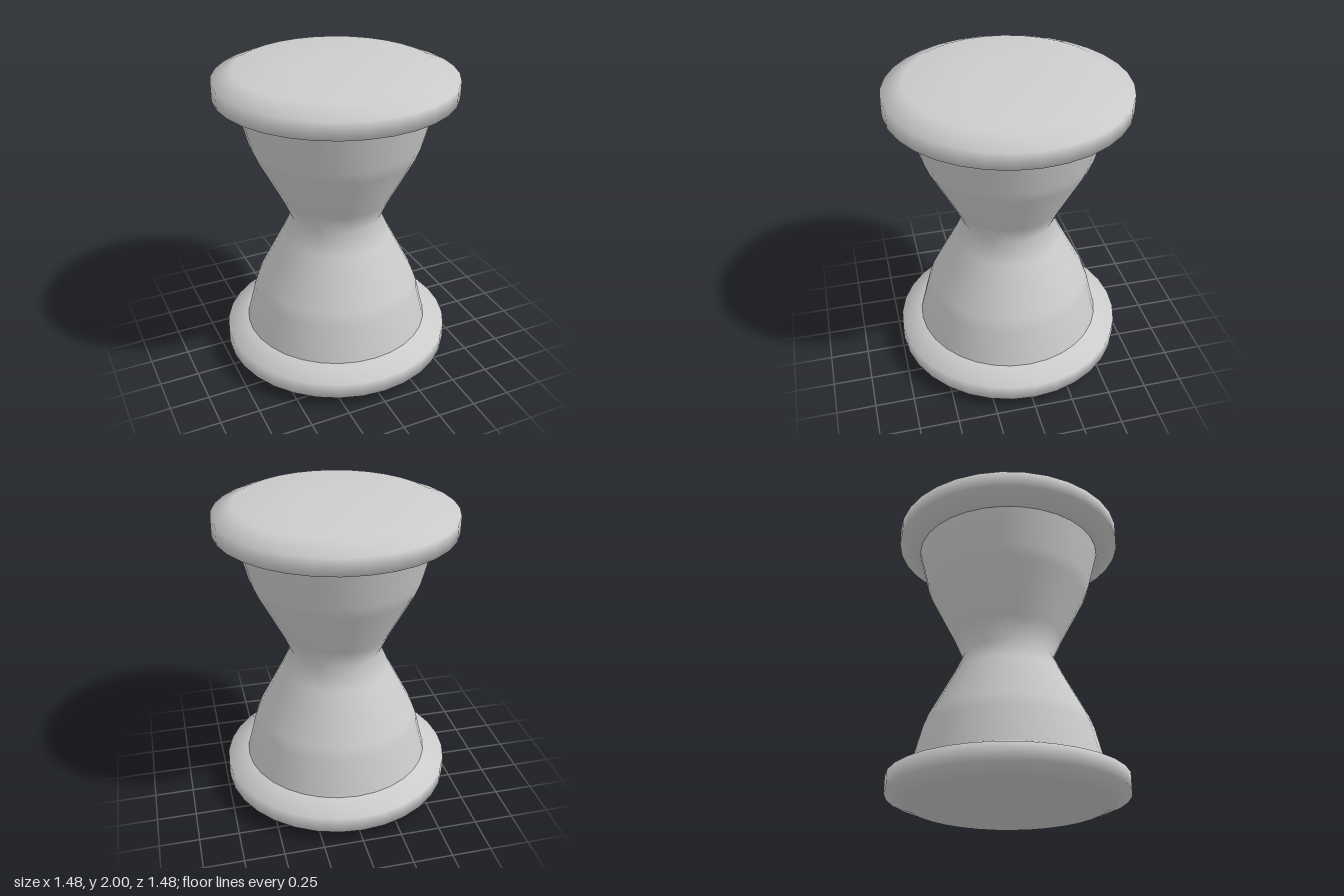
import * as THREE from 'three';

const SIDES = 32;

// Turned part from [radius, height] pairs listed bottom to top
function turned(name, profile, material) {
  const points = profile.map(([r, y]) => new THREE.Vector2(r, y));
  const mesh = new THREE.Mesh(new THREE.LatheGeometry(points, SIDES), material);
  mesh.name = name;
  return mesh;
}

// Flip a profile about mid height, keeping bottom-to-top order
const mirrored = (profile) => profile.map(([r, y]) => [r, 2 - y]).reverse();

export function createModel() {
  const grey = new THREE.MeshStandardMaterial({ color: 0xcccccc });
  grey.name = 'light grey';

  // Disc with bevelled rim, open where it meets the bulb
  const cap = [[0, 0], [0.28, 0], [0.61, 0.027], [0.74, 0.08], [0.74, 0.185], [0.6, 0.237]];

  // Lower bulb up to the waist
  const bulb = [[0.6, 0.237], [0.54, 0.476], [0.51, 0.555], [0.35, 0.865], [0.29, 1]];

  const group = new THREE.Group();
  group.name = 'hourglass';
  group.add(
    turned('bottomCap', cap, grey),
    turned('bulbs', [...bulb, ...mirrored(bulb).slice(1)], grey),
    turned('topCap', mirrored(cap), grey),
  );
  return group;
}
